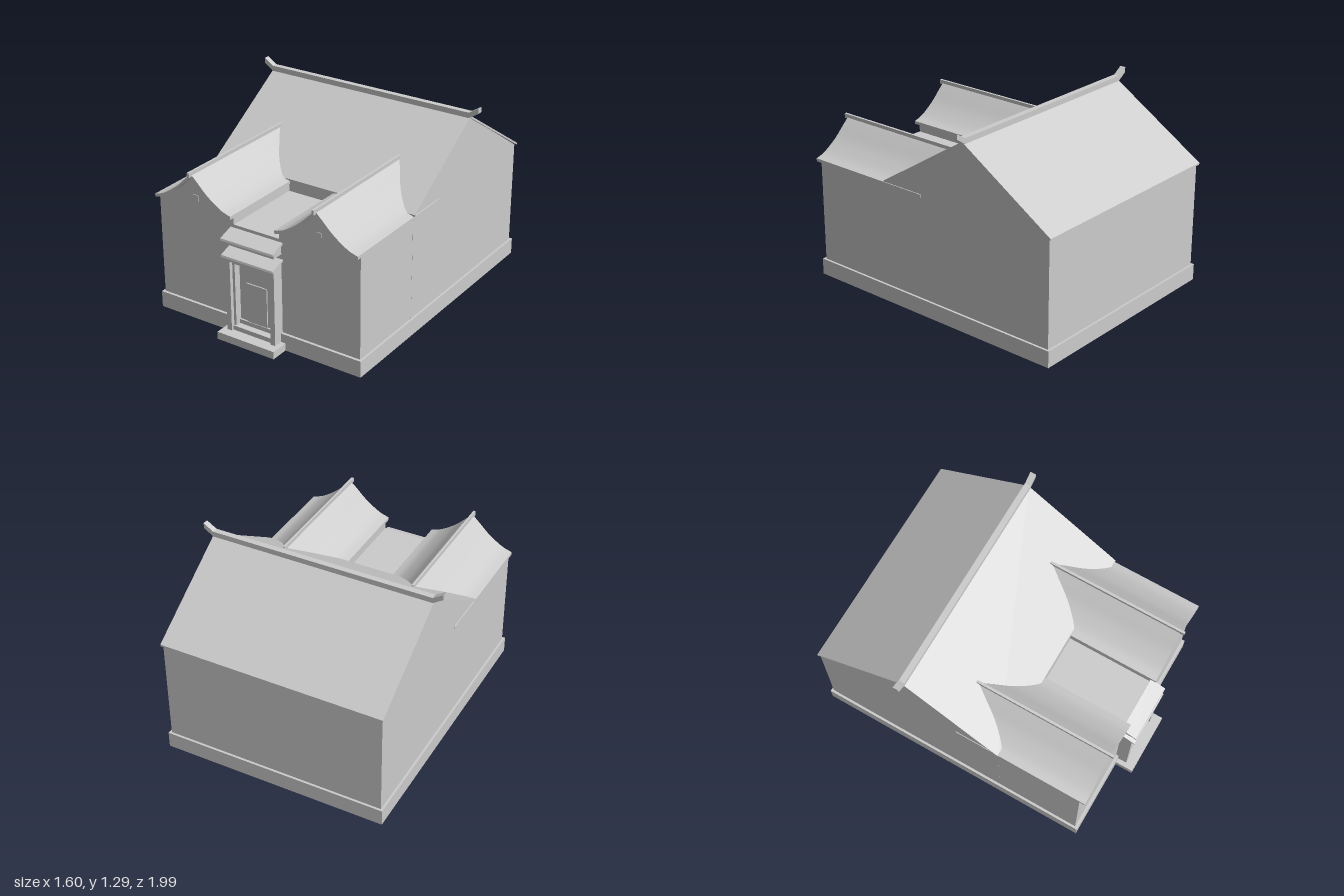
import * as THREE from 'three';
import { toCreasedNormals } from 'three/addons/utils/BufferGeometryUtils.js';

const WING_X = 0.447;
const WALL_X = 0.73;

export function createModel() {
  const house = new THREE.Group();
  house.name = 'house';
  const material = new THREE.MeshStandardMaterial({ color: 0xcccccc });

  function add(name, geometry, parent = house) {
    const mesh = new THREE.Mesh(geometry, material);
    mesh.name = name;
    parent.add(mesh);
    return mesh;
  }

  // Box given by its limits on each axis
  function box(name, x0, x1, y0, y1, z0, z1, parent) {
    const mesh = add(name, new THREE.BoxGeometry(x1 - x0, y1 - y0, z1 - z0), parent);
    mesh.position.set((x0 + x1) / 2, (y0 + y1) / 2, (z0 + z1) / 2);
    return mesh;
  }

  // Front profile [x, y] extruded from z0 to z1
  function extrudeZ(points, z0, z1) {
    const shape = new THREE.Shape(points.map(([x, y]) => new THREE.Vector2(x, y)));
    const geometry = new THREE.ExtrudeGeometry(shape, { depth: z1 - z0, bevelEnabled: false });
    geometry.translate(0, 0, z0);
    return toCreasedNormals(geometry, 0.4);
  }

  // Side profile [z, y] extruded across x, centred
  function extrudeX(points, halfWidth) {
    return extrudeZ(points, -halfWidth, halfWidth).rotateY(-Math.PI / 2);
  }

  // Plinth and main hall
  box('plinth', -0.745, 0.745, 0, 0.108, -0.99, 0.88);
  add('mainHall', extrudeX([[-0.975, 0], [0.3, 0], [0.3, 0.8], [-0.34, 1.21], [-0.975, 0.8]], WALL_X));
  add('mainRoof', extrudeX([
    [-0.99, 0.797], [-0.34, 1.205], [0.3, 0.797], [0.3, 0.81], [-0.34, 1.22], [-0.99, 0.81],
  ], 0.74));

  // Main ridge with upturned ends
  add('mainRidge', extrudeZ([
    [-0.735, 1.21], [0.735, 1.21], [0.8, 1.252], [0.8, 1.287],
    [0.735, 1.245], [-0.735, 1.245], [-0.8, 1.287], [-0.8, 1.252],
  ], -0.36, -0.322));

  // Hollow-curved slope of a wing roof: distance from ridge, height
  const slope = new THREE.SplineCurve([
    [0, 1.0], [0.05, 0.953], [0.11, 0.895], [0.17, 0.85], [0.23, 0.815], [0.287, 0.797],
  ].map(([u, y]) => new THREE.Vector2(u, y))).getPoints(20).map((p) => [p.x, p.y]);
  const gable = [...slope.slice(1).reverse().map(([u, y]) => [-u, y]), ...slope];

  // Front block: two curved gables joined by a lower flat roof
  const gableAt = (cx) => gable.map(([u, y]) => [cx + u * 0.982, y - 0.01]);
  add('frontBlock', extrudeZ([
    [-WALL_X, 0], ...gableAt(-WING_X), [-0.165, 0.73], [0.165, 0.73], ...gableAt(WING_X), [WALL_X, 0],
  ], 0.02, 0.862));

  // Wing roofs, ridges and gable vents
  for (const side of [-1, 1]) {
    const wing = new THREE.Group();
    wing.name = side > 0 ? 'leftWing' : 'rightWing';
    wing.position.x = side * WING_X;
    house.add(wing);
    const underside = gable.map(([u, y]) => [u, y - 0.02]).reverse();
    add('wingRoof', extrudeZ([...gable, ...underside], 0, 0.9), wing);
    box('wingRidge', -0.008, 0.008, 0.985, 1.015, -0.01, 0.925, wing);
    box('gableVent', -0.021, 0.021, 0.81, 0.85, 0.855, 0.866, wing);
  }

  // Doorway
  const doorway = new THREE.Group();
  doorway.name = 'doorway';
  house.add(doorway);
  box('doorStep', -0.21, 0.21, 0, 0.05, 0.86, 1.0, doorway);
  box('threshold', -0.15, 0.15, 0.05, 0.08, 0.86, 0.925, doorway);
  for (const side of [-1, 1]) {
    const post = box('doorPost', -0.017, 0.017, 0.05, 0.53, 0.86, 0.94, doorway);
    post.position.x = side * 0.162;
    const jamb = box('doorJamb', -0.01, 0.01, 0.08, 0.52, 0.86, 0.915, doorway);
    jamb.position.x = side * 0.138;
  }
  box('doorHead', -0.148, 0.148, 0.5, 0.525, 0.86, 0.915, doorway);
  box('lintel', -0.179, 0.179, 0.522, 0.565, 0.86, 0.94, doorway);
  box('doorPanel', -0.13, 0.13, 0.08, 0.5, 0.86, 0.868, doorway);
  box('door', -0.075, 0.075, 0.08, 0.37, 0.86, 0.876, doorway);

  // Two small sloping canopies above the door
  for (const [name, y] of [['lowerCanopy', 0.555], ['upperCanopy', 0.665]]) {
    add(name, extrudeX([
      [0.86, y + 0.033], [0.965, y - 0.003], [0.962, y + 0.01], [0.86, y + 0.046],
    ], 0.19), doorway);
  }
  add('canopyBeam', extrudeX([
    [0.86, 0.633], [0.94, 0.633], [0.94, 0.672], [0.86, 0.7],
  ], 0.179), doorway);

  return house;
}
